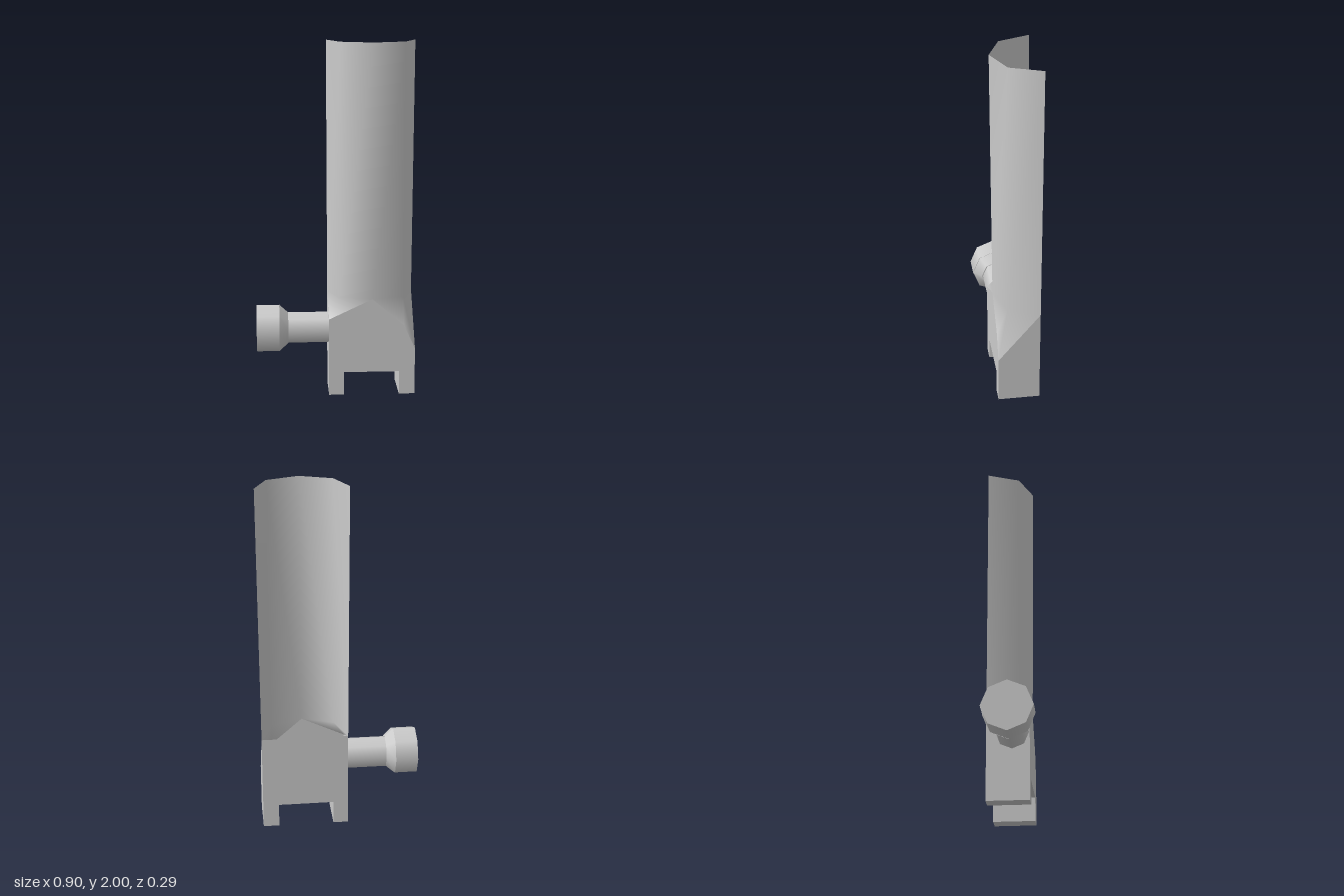
import * as THREE from 'three';

const mat = new THREE.MeshStandardMaterial({ color: 0xcccccc, side: THREE.DoubleSide });
const L = -0.045, R = 0.445, F = 0.09, B = -0.145;

function add(group, name, geometry) {
  const mesh = new THREE.Mesh(geometry, mat);
  mesh.name = name;
  group.add(mesh);
  return mesh;
}

function surface(points, index) {
  const g = new THREE.BufferGeometry();
  g.setAttribute('position', new THREE.Float32BufferAttribute(points.flat(), 3));
  g.setIndex(index);
  return g;
}

// Flat-shaded strip joining two matching polylines
function strip(a, b) {
  const index = [];
  const n = a.length;
  for (let i = 0; i < n - 1; i++) index.push(i, i + 1, n + i + 1, i, n + i + 1, n + i);
  const g = surface([...a, ...b], index).toNonIndexed();
  g.computeVertexNormals();
  return g;
}

export function createModel() {
  const model = new THREE.Group();

  // Half-round shell, open at the back, blending into the base below
  const top = [[-0.05, 2, B], [0.02, 2, 0.03], [0.2, 2, 0.103], [0.38, 2, 0.03], [0.45, 2, B]];
  const low = [[L, 0.555, B], [0.02, 0.56, 0.03], [0.2, 0.565, F], [0.38, 0.56, 0.03], [R, 0.555, B]];
  const corners = [[L, 0.45, F], [0.38, 0.41, F], [R, 0.27, F]];
  const index = [];
  for (let i = 0; i < 4; i++) index.push(i + 5, i + 6, i + 1, i + 5, i + 1, i);
  index.push(5, 10, 6, 6, 10, 7, 7, 11, 8, 8, 11, 12, 8, 12, 9);
  const shell = surface([...top, ...low, ...corners], index);
  shell.computeVertexNormals();
  add(model, 'shell', shell);

  // Hollow base: front and back plates share a notched lower outline
  const base = new THREE.Group();
  base.name = 'base';
  model.add(base);
  const lower = [[L, 0], [0.04, 0], [0.04, 0.135], [0.355, 0.135], [0.355, 0], [R, 0]];
  const plate = (upper) => new THREE.ShapeGeometry(
    new THREE.Shape([...lower, ...upper].map(([x, y]) => new THREE.Vector2(x, y))));
  add(base, 'frontPlate', plate([[R, 0.27], [0.38, 0.41], [0.2, 0.565], [L, 0.45]])).position.z = F;
  add(base, 'backPlate', plate([[R, 0.555], [L, 0.555]]).rotateY(Math.PI).scale(-1, 1, 1)).position.z = B;

  // Side walls, leg bottoms and notch walls
  const rim = (z, leftTop, rightTop) =>
    [[L, leftTop], ...lower, [R, rightTop]].map(([x, y]) => [x, y, z]);
  add(base, 'sidesAndFeet', strip(rim(B, 0.555, 0.555), rim(F, 0.45, 0.27)));

  // Eight-sided handle: stem, flared collar and knob along x
  const handle = new THREE.Group();
  handle.name = 'handle';
  model.add(handle);
  const turned = (name, x0, x1, r0, r1, z, open) => {
    const g = new THREE.CylinderGeometry(r0, r1, x1 - x0, 8, 1, open);
    g.rotateZ(Math.PI / 2);
    add(handle, name, g).position.set((x0 + x1) / 2, 0.377, z);
  };
  turned('stem', -0.275, -0.04, 0.091, 0.091, -0.005, true);
  turned('collar', -0.325, -0.275, 0.138, 0.092, 0, true);
  turned('knob', -0.453, -0.325, 0.138, 0.138, 0.003, false);

  return model;
}
